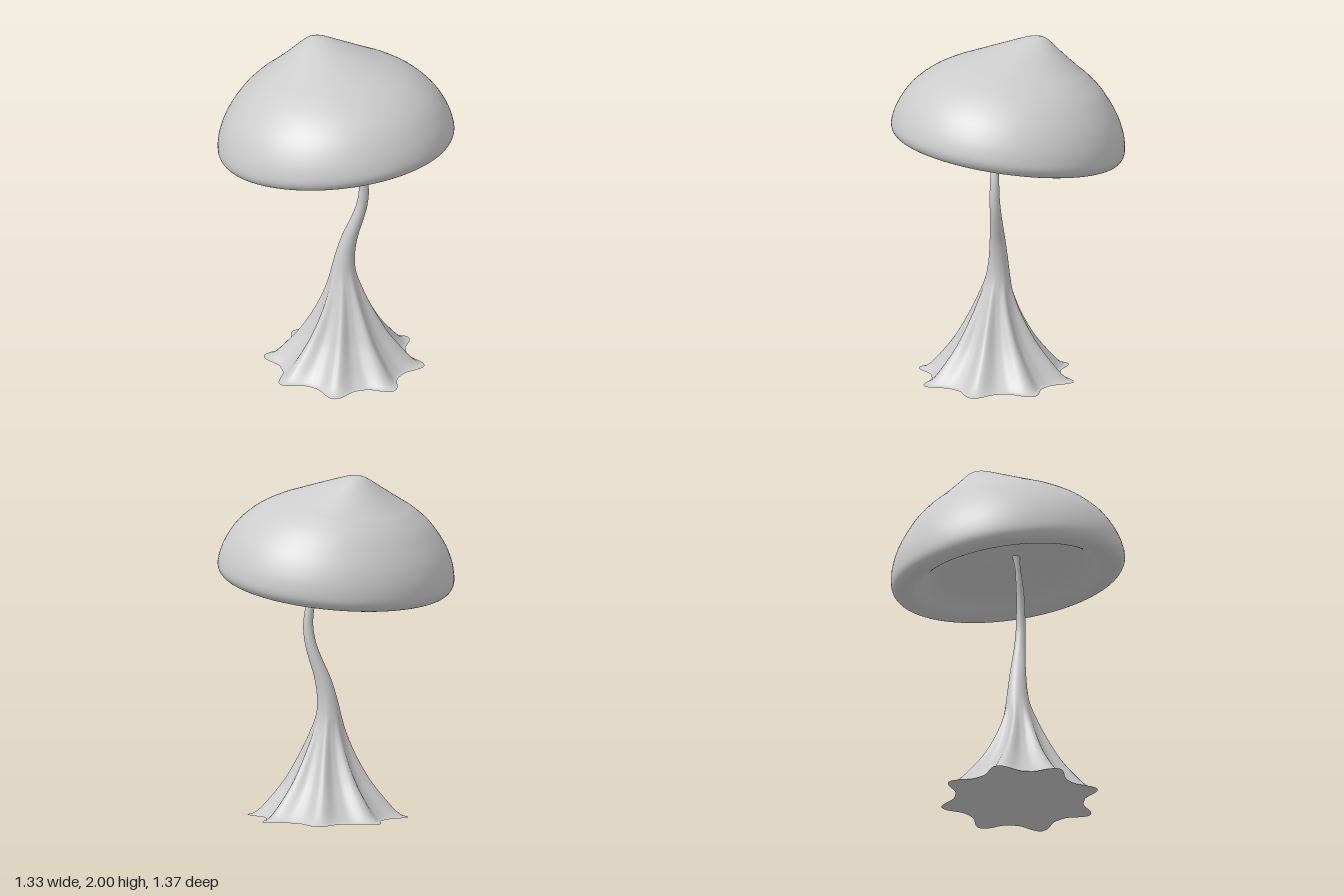
import * as THREE from 'three';
import { mergeVertices } from 'three/addons/utils/BufferGeometryUtils.js';

const material = new THREE.MeshStandardMaterial({ color: 0xcccccc });
const TILT = 0.148; // lean of the cap about z, in radians

// Weld the seam so that normals stay smooth all round
function smooth(geometry) {
  geometry.deleteAttribute('uv');
  geometry.deleteAttribute('normal');
  const welded = mergeVertices(geometry, 1e-5);
  welded.computeVertexNormals();
  return welded;
}

// Cap: a turned profile whose peak drifts sideways, then tilted
function makeCap() {
  const profile = [
    [0, 0.175], [0.1, 0.15], [0.25, 0.118], [0.4, 0.083], [0.47, 0.053], [0.515, 0.024],
    [0.555, 0.004], [0.59, -0.003], [0.622, -0.002], [0.654, 0.016], [0.672, 0.055],
    [0.667, 0.115], [0.648, 0.18], [0.612, 0.255], [0.56, 0.327], [0.488, 0.4],
    [0.4, 0.462], [0.324, 0.504], [0.2, 0.573], [0.08, 0.64], [0.035, 0.658], [0, 0.664],
  ].map(([r, h]) => new THREE.Vector2(r, h));
  const points = new THREE.SplineCurve(profile).getPoints(105);
  points.forEach((p) => { p.x = Math.max(p.x, 0); });
  points[0].x = points[points.length - 1].x = 0;
  const geometry = new THREE.LatheGeometry(points, 96);
  const pos = geometry.attributes.position;
  for (let i = 0; i < pos.count; i++) {
    const drift = Math.max(pos.getY(i) - 0.27, 0);
    pos.setX(i, pos.getX(i) - 0.76 * drift * drift);
    pos.setZ(i, pos.getZ(i) * 1.02);
  }
  geometry.rotateZ(TILT);
  geometry.translate(0.012, 1.36, 0);
  const cap = new THREE.Mesh(smooth(geometry), material);
  cap.name = 'cap';
  return cap;
}

// Stem stations: height, centre x, centre z, radius at ridges, ridge depth
const stations = [
  [0, 0.078, 0, 0.465, 0.2], [0.008, 0.078, 0, 0.434, 0.18], [0.03, 0.078, 0, 0.4, 0.17],
  [0.08, 0.078, 0, 0.352, 0.18], [0.2, 0.08, 0, 0.255, 0.19], [0.344, 0.081, 0, 0.17, 0.17],
  [0.49, 0.076, 0, 0.104, 0.1], [0.59, 0.068, -0.002, 0.072, 0.02], [0.68, 0.07, -0.011, 0.058, 0],
  [0.8, 0.085, -0.033, 0.047, 0], [0.92, 0.111, -0.068, 0.038, 0], [1.0, 0.127, -0.087, 0.033, 0],
  [1.1, 0.138, -0.096, 0.029, 0], [1.2, 0.134, -0.088, 0.026, 0], [1.3, 0.12, -0.066, 0.023, 0],
  [1.38, 0.1, -0.043, 0.02, 0], [1.46, 0.077, -0.02, 0.016, 0], [1.535, 0.058, -0.008, 0.022, 0],
];

// Stem: rings lofted along a bent centre line, with eight root ridges
function makeStem() {
  const centre = new THREE.CatmullRomCurve3(stations.map(([y, x, z]) => new THREE.Vector3(x, y, z)));
  const size = new THREE.CatmullRomCurve3(stations.map(([y, , , r, d]) => new THREE.Vector3(r, d, y)));
  const rings = 102, sides = 128;
  const positions = [], index = [], outline = [];
  for (let j = 0; j <= rings; j++) {
    const c = centre.getPoint(j / rings);
    const s = size.getPoint(j / rings);
    for (let i = 0; i < sides; i++) {
      const a = (i / sides) * Math.PI * 2;
      const ridge = Math.pow((1 + Math.cos(8 * a)) / 2, 1.7);
      const r = s.x * (1 - Math.max(s.y, 0) * (1 - ridge));
      const x = c.x + r * Math.cos(a), z = c.z + r * Math.sin(a);
      positions.push(x, Math.max(c.y, 0), z);
      if (j === 0) outline.push(new THREE.Vector2(x, z));
      if (j < rings) {
        const p = j * sides + i, q = j * sides + ((i + 1) % sides);
        index.push(p, p + sides, q, q, p + sides, q + sides);
      }
    }
  }
  const geometry = new THREE.BufferGeometry();
  geometry.setAttribute('position', new THREE.Float32BufferAttribute(positions, 3));
  geometry.setIndex(index);
  geometry.computeVertexNormals();
  const stem = new THREE.Mesh(geometry, material);
  stem.name = 'stem';

  // Flat underside of the roots, facing down
  const floor = new THREE.ShapeGeometry(new THREE.Shape(outline)).rotateX(Math.PI / 2);
  const sole = new THREE.Mesh(floor, material);
  sole.name = 'rootUnderside';
  return [stem, sole];
}

export function createModel() {
  const model = new THREE.Group();
  model.name = 'mushroom';
  model.add(makeCap(), ...makeStem());
  return model;
}
